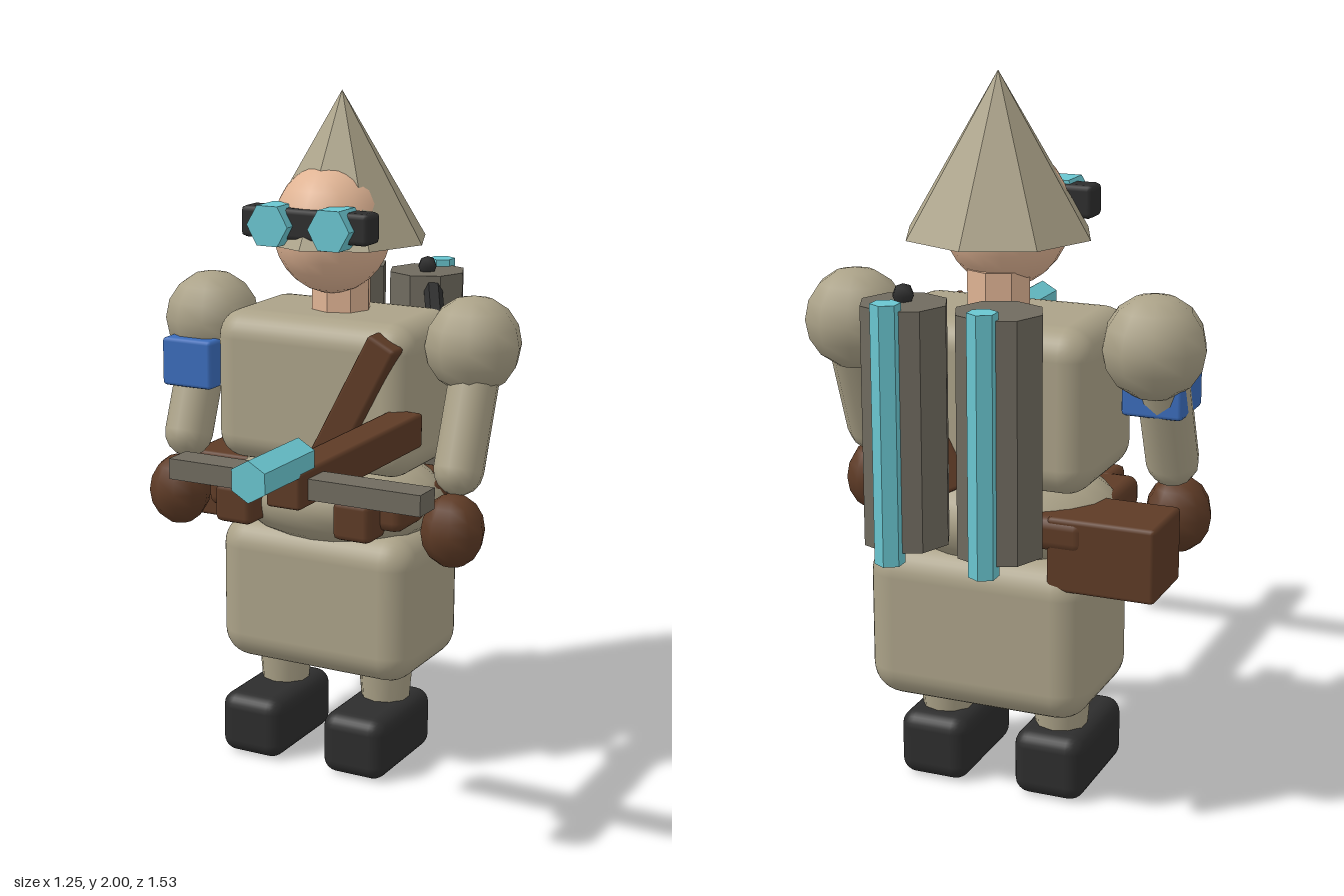
import * as THREE from 'three';
import { RoundedBoxGeometry } from 'three/addons/geometries/RoundedBoxGeometry.js';

const material = (name, color, flatShading = false) => {
  const m = new THREE.MeshStandardMaterial({ color, flatShading });
  m.name = name;
  return m;
};

export function createModel() {
  const model = new THREE.Group();
  model.name = 'gunner';

  const cloth = material('cloth', 0xaba288);
  const skin = material('skin', 0xe0b494);
  const leather = material('leather', 0x5e3b26);
  const black = material('black', 0x2d2d2d);
  const metal = material('metal', 0x706b5f);
  const glow = material('cyan', 0x6ac6d0);
  const blue = material('blue', 0x3b6cba);

  const CX = -0.05; // body's centre line

  const add = (name, geometry, mat, x, y, z) => {
    const mesh = new THREE.Mesh(geometry, mat);
    mesh.name = name;
    mesh.position.set(x, y, z);
    model.add(mesh);
    return mesh;
  };
  const box = (name, mat, size, pos, radius = 0.012, segments = 1) =>
    add(name, new RoundedBoxGeometry(...size, segments, radius), mat, ...pos);
  const ball = (name, mat, radii, pos, w = 10, h = 8) => {
    const mesh = add(name, new THREE.SphereGeometry(1, w, h), mat, ...pos);
    mesh.scale.set(...radii);
    return mesh;
  };
  // Faceted prism with crisp sides
  const prism = (name, mat, rTop, rBottom, height, sides, pos) => {
    const g = new THREE.CylinderGeometry(rTop, rBottom, height, sides).toNonIndexed();
    g.computeVertexNormals();
    return add(name, g, mat, ...pos);
  };
  // Turn a mesh's y axis from point a towards point b
  const aim = (mesh, a, b) => {
    const dir = new THREE.Vector3(...b).sub(new THREE.Vector3(...a)).normalize();
    mesh.quaternion.setFromUnitVectors(new THREE.Vector3(0, 1, 0), dir);
    mesh.position.set(...a).add(new THREE.Vector3(...b)).multiplyScalar(0.5);
  };

  // Body
  box('torso', cloth, [0.64, 0.45, 0.41], [CX, 1.14, -0.295], 0.08, 4);
  ball('belly', cloth, [0.34, 0.15, 0.25], [CX, 0.81, -0.29], 20, 14);
  box('skirt', cloth, [0.64, 0.45, 0.42], [CX, 0.505, -0.312], 0.09, 4);

  // Head, hat and goggles
  prism('neck', skin, 0.09, 0.09, 0.16, 8, [CX, 1.4, -0.31]);
  ball('head', skin, [0.172, 0.19, 0.18], [CX, 1.61, -0.255], 20, 14);
  prism('hat', cloth, 0, 0.26, 0.43, 8, [CX, 1.785, -0.31]);
  box('goggleStrap', black, [0.41, 0.09, 0.085], [CX, 1.638, -0.115], 0.015);

  for (const side of [-1, 1]) {
    const label = side > 0 ? 'left' : 'right';

    const lens = prism(label + 'Lens', glow, 0.066, 0.066, 0.1, 6, [CX + side * 0.098, 1.635, -0.09]);
    lens.rotation.set(Math.PI / 2, Math.PI / 2, 0);

    // Arms
    const ax = CX + side * 0.45;
    ball(label + 'Shoulder', cloth, [0.142, 0.142, 0.142], [CX + side * 0.434, 1.3, -0.295], 10, 8);
    const from = [ax, 1.22, -0.275], to = [ax, 0.96, -0.175];
    const arm = add(label + 'Arm', new THREE.CapsuleGeometry(0.073, 0.28, 4, 12), cloth, 0, 0, 0);
    aim(arm, from, to);
    ball(label + 'Hand', leather, [0.094, 0.108, 0.094], [CX + side * 0.455, 0.793, -0.13], 10, 8);

    // Legs and boots
    const lx = CX + side * 0.173;
    add(label + 'Leg', new THREE.CylinderGeometry(0.088, 0.07, 0.2, 10), cloth, lx, 0.25, -0.28);
    box(label + 'Boot', black, [0.205, 0.19, 0.36], [lx, 0.096, -0.225], 0.045, 3);

    // Belt pouches
    box(label + 'Pouch', leather, [0.122, 0.12, 0.12], [CX + side * 0.195, 0.812, -0.055], 0.02);

    // Back tanks with glowing tubes
    const tx = CX + side * 0.132;
    prism(label + 'Tank', metal, 0.118, 0.118, 0.64, 8, [tx, 1.12, -0.62]);
    prism(label + 'Tube', glow, 0.04, 0.04, 0.69, 6, [tx, 1.115, -0.726]);
  }

  // Belt, hip bag, shoulder strap and arm band
  box('belt', leather, [0.645, 0.095, 0.45], [CX, 0.822, -0.29], 0.03, 2);
  box('hipBag', leather, [0.3, 0.205, 0.22], [-0.415, 0.768, -0.4]);
  const strap = box('shoulderStrap', leather, [0.095, 0.47, 0.45], [0.1, 1.12, -0.28]);
  strap.rotation.z = -0.48;
  box('armBand', blue, [0.17, 0.148, 0.18], [-0.483, 1.182, -0.225]);

  // Short hose from the tank over the shoulder
  ball('hoseCap', black, [0.03, 0.03, 0.035], [0.09, 1.455, -0.605], 6, 4);
  const hose = prism('hose', black, 0.028, 0.028, 0.2, 6, [0, 0, 0]);
  aim(hose, [0.135, 1.405, -0.55], [0.2, 1.34, -0.43]);

  // Crossbow
  box('crossbowStock', leather, [0.1, 0.1, 0.73], [0.255, 1.075, 0.23], 0.01);
  add('crossbowLimbs', new THREE.BoxGeometry(0.735, 0.056, 0.085), metal, 0.255, 1.073, 0.508);
  const barrel = prism('crossbowBarrel', glow, 0.055, 0.055, 0.258, 6, [0.255, 1.14, 0.639]);
  barrel.rotation.x = Math.PI / 2;

  return model;
}
